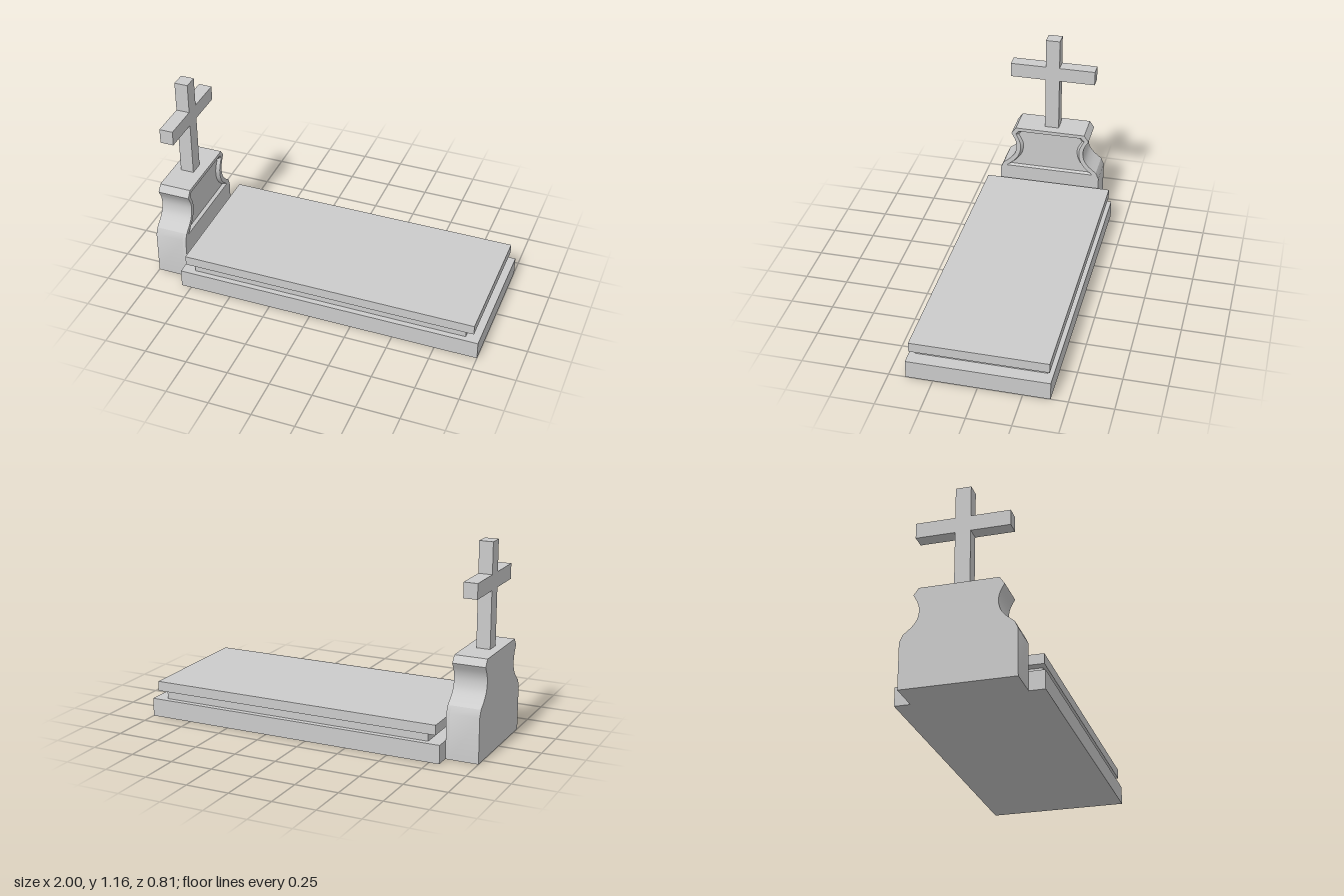
import * as THREE from 'three';
import { toCreasedNormals } from 'three/addons/utils/BufferGeometryUtils.js';

const material = new THREE.MeshStandardMaterial({ color: 0xcccccc });

function addMesh(parent, name, geometry) {
  const mesh = new THREE.Mesh(geometry, material);
  mesh.name = name;
  parent.add(mesh);
}

// Box given by its limits along each axis, centred on z = 0
function addBox(parent, name, x0, x1, y0, y1, halfZ) {
  const geometry = new THREE.BoxGeometry(x1 - x0, y1 - y0, halfZ * 2);
  geometry.translate((x0 + x1) / 2, (y0 + y1) / 2, 0);
  addMesh(parent, name, geometry);
}

const points = (list) => list.map(([x, y]) => new THREE.Vector2(x, y));

// Closed symmetric outline: straight foot, curved waist, straight top
function outline(foot, waist, top) {
  const curve = new THREE.SplineCurve(points(waist)).getPoints(24);
  const half = [...points(foot), ...curve, ...points(top)];
  const mirrored = half.map((p) => new THREE.Vector2(-p.x, p.y)).reverse();
  return [...half, ...mirrored];
}

// Extrude an outline along x, between x0 and x1
function extrudeX(shape, x0, x1) {
  const geometry = new THREE.ExtrudeGeometry(shape, { depth: x1 - x0, bevelEnabled: false });
  geometry.rotateY(Math.PI / 2).translate(x0, 0, 0);
  return toCreasedNormals(geometry, 0.45);
}

// Sloping band between two outlines with matching point counts
function band(outer, inner, xOuter, xInner) {
  const positions = [];
  const put = (p, x) => positions.push(x, p.y, -p.x);
  outer.forEach((a, i) => {
    const j = (i + 1) % outer.length;
    const b = outer[j], c = inner[j], d = inner[i];
    put(a, xOuter); put(b, xOuter); put(c, xInner);
    put(a, xOuter); put(c, xInner); put(d, xInner);
  });
  const geometry = new THREE.BufferGeometry();
  geometry.setAttribute('position', new THREE.Float32BufferAttribute(positions, 3));
  return toCreasedNormals(geometry, 0.45);
}

export function createModel() {
  const model = new THREE.Group();
  model.name = 'graveMonument';

  // Stacked grave slabs
  const grave = new THREE.Group();
  grave.name = 'grave';
  addBox(grave, 'plinth', -0.81, 1, 0, 0.107, 0.403);
  addBox(grave, 'slabSupport', -0.73, 0.92, 0.107, 0.155, 0.37);
  addBox(grave, 'coverSlab', -0.78, 0.97, 0.155, 0.212, 0.39);
  model.add(grave);

  // Headstone with a waisted profile and a recessed panel
  const profile = outline(
    [[0.315, 0], [0.315, 0.263]],
    [[0.297, 0.303], [0.25, 0.343], [0.222, 0.382], [0.212, 0.43], [0.22, 0.475], [0.245, 0.523]],
    [[0.217, 0.563]]
  );
  const panelRim = outline(
    [],
    [[0.275, 0.286], [0.225, 0.33], [0.196, 0.376], [0.186, 0.43], [0.194, 0.472], [0.217, 0.52]],
    [[0.2, 0.541]]
  );
  const panelFloor = outline(
    [],
    [[0.254, 0.294], [0.212, 0.332], [0.182, 0.378], [0.171, 0.43], [0.179, 0.468], [0.202, 0.51]],
    [[0.184, 0.534]]
  );
  const back = -1, floor = -0.83, front = -0.81;
  const frame = new THREE.Shape(profile);
  frame.holes.push(new THREE.Path(panelRim));

  const headstone = new THREE.Group();
  headstone.name = 'headstone';
  addMesh(headstone, 'headstoneBody', extrudeX(new THREE.Shape(profile), back, floor));
  addMesh(headstone, 'panelFrame', extrudeX(frame, floor, front));
  addMesh(headstone, 'panelBevel', band(panelRim, panelFloor, front, floor));
  model.add(headstone);

  // Cross, extruded as a single outline
  const w = 0.043, arm = 0.262, low = 0.892, high = 0.98, top = 1.16, foot = 0.563;
  const cross = new THREE.Shape(points([
    [w, foot], [w, low], [arm, low], [arm, high], [w, high], [w, top],
    [-w, top], [-w, high], [-arm, high], [-arm, low], [-w, low], [-w, foot],
  ]));
  addMesh(model, 'cross', extrudeX(cross, -0.95, -0.87));

  return model;
}
